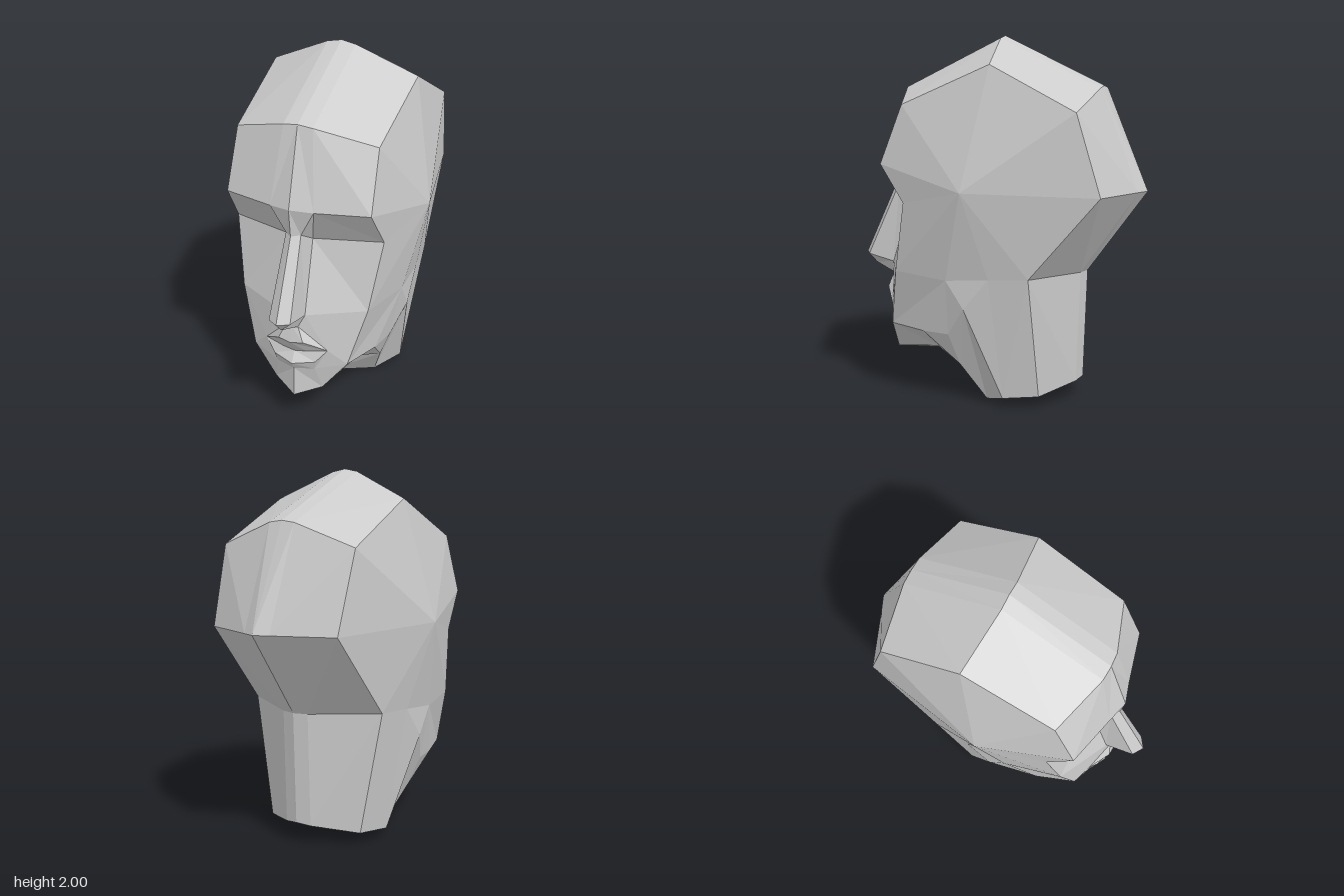
import * as THREE from 'three';

const material = new THREE.MeshStandardMaterial({ color: 0xcccccc, flatShading: true });

// Builds a mirrored, faceted part from polygons drawn on the +x half.
function part(name, polygons) {
  const pos = [];
  for (const poly of polygons) {
    for (let i = 1; i < poly.length - 1; i++) {
      const tri = [poly[0], poly[i], poly[i + 1]];
      for (const p of tri) pos.push(...p);
      for (const [x, y, z] of tri.reverse()) pos.push(-x, y, z);
    }
  }
  const geometry = new THREE.BufferGeometry();
  geometry.setAttribute('position', new THREE.Float32BufferAttribute(pos, 3));
  geometry.computeVertexNormals();
  const mesh = new THREE.Mesh(geometry, material);
  mesh.name = name;
  return mesh;
}

// Joins rows of points (midline to outer edge) with quads.
function loft(rows) {
  const quads = [];
  for (let i = 0; i < rows.length - 1; i++) {
    for (let j = 0; j < rows[i].length - 1; j++) {
      quads.push([rows[i][j], rows[i + 1][j], rows[i + 1][j + 1], rows[i][j + 1]]);
    }
  }
  return quads;
}

// Joins a hub point to a closed ring of points.
const fan = (hub, ring) => ring.map((p, i) => [hub, p, ring[(i + 1) % ring.length]]);

export function createModel() {
  // Skull rows, from the neck up the back and over to the brow
  const neckBack = [[0, 0.115, -0.49], [0.08, 0.105, -0.47], [0.3, 0.065, -0.32]];
  const nape = [[0, 0.72, -0.51], [0.08, 0.72, -0.49], [0.42, 0.73, -0.295]];
  const back = [[0, 1.17, -0.835], [0.08, 1.17, -0.8], [0.4, 1.17, -0.67]];
  const backTop = [[0, 1.73, -0.59], [0.08, 1.72, -0.59], [0.42, 1.6, -0.545]];
  const crown = [[0, 2, -0.03], [0.08, 1.985, -0.03], [0.41, 1.84, -0.08]];
  const forehead = [[0, 1.73, 0.53], [0.08, 1.72, 0.525], [0.39, 1.63, 0.425]];
  const brow = [[0, 1.32, 0.655], [0.12, 1.31, 0.62], [0.4, 1.31, 0.55]];

  // Side of the head and outline of the face
  const temple = [0.54, 1.185, 0.04];
  const eyeIn = [0.065, 1.105, 0.51], eyeOut = [0.42, 1.105, 0.41];
  const cheek = [0.365, 0.72, 0.485], jowl = [0.275, 0.4, 0.55];
  const chinSide = [0.14, 0.23, 0.575], chin = [0, 0.185, 0.645];
  const earLow = [0.44, 0.7, 0.16], earBack = [0.44, 0.72, -0.08];

  // Nose
  const nasion = [0, 1.165, 0.64], bridge = [0.042, 1.165, 0.605];
  const tip = [0, 0.75, 0.835], ridge = [0.06, 0.745, 0.795];
  const septum = [0, 0.685, 0.775], wing = [0.07, 0.71, 0.635];
  const noseBase = [0, 0.64, 0.655], noseBaseSide = [0.035, 0.64, 0.65];

  // Mouth
  const lipTop = [0, 0.545, 0.675], lipPeak = [0.07, 0.56, 0.67];
  const lipLine = [0, 0.465, 0.625], lipLineSide = [0.07, 0.475, 0.62];
  const mouthCorner = [0.18, 0.49, 0.595];
  const lipLow = [0, 0.405, 0.665], lipLowSide = [0.12, 0.42, 0.625];
  const underLip = [0, 0.36, 0.64], underLipSide = [0.11, 0.365, 0.61];

  // Jaw and neck
  const jawFront = [0.35, 0.39, 0.33], jawAngle = [0.38, 0.39, 0.17];
  const jawUnder = [0.24, 0.28, 0.29], jawBack = [0.31, 0.21, 0.13];
  const throat = [0, 0.2, 0.36], throatBack = [0, 0.17, 0.22];
  const neckTop = [0.44, 0.55, 0.06];
  const neckFront = [0, 0.015, 0.14], neckFrontSide = [0.23, 0, 0], neckSide = [0.345, 0.05, -0.13];

  const head = new THREE.Group();
  head.name = 'head';
  head.add(
    part('cranium', loft([nape, back, backTop, crown, forehead, brow])),
    part('headSides', fan(temple, [
      back[2], backTop[2], crown[2], forehead[2], brow[2],
      eyeOut, cheek, earLow, earBack, nape[2],
    ])),
    part('eyeSockets', [
      [brow[0], nasion, bridge, brow[1]],
      [brow[1], bridge, eyeIn, eyeOut, brow[2]],
    ]),
    part('nose', [
      [nasion, tip, ridge, bridge],
      [bridge, ridge, wing, eyeIn],
      [septum, noseBase, noseBaseSide, wing, ridge, tip],
    ]),
    part('cheeks', [
      [eyeIn, wing, cheek, eyeOut],
      [noseBase, lipTop, lipPeak, noseBaseSide],
      [mouthCorner, cheek, wing, noseBaseSide, lipPeak],
      [mouthCorner, jowl, cheek],
    ]),
    part('lips', [
      [lipTop, lipLine, lipLineSide, mouthCorner, lipPeak],
      [lipLine, lipLow, lipLowSide, mouthCorner, lipLineSide],
    ]),
    part('chin', [
      [lipLow, underLip, underLipSide, lipLowSide],
      [underLip, chin, chinSide, underLipSide],
      [underLipSide, chinSide, jowl, mouthCorner, lipLowSide],
    ]),
    part('jaw', [
      [earLow, cheek, jowl, jawFront, jawAngle, neckTop],
      [jowl, chinSide, jawUnder, jawFront],
      [jawFront, jawUnder, jawBack, jawAngle],
      [chinSide, chin, throat, jawUnder],
      [jawUnder, throat, throatBack, jawBack],
    ]),
    part('neck', [
      ...loft([neckBack, nape]),
      [earLow, neckTop, earBack],
      [earBack, neckTop, neckSide],
      [neckTop, neckFrontSide, neckSide],
      [nape[2], earBack, neckSide, neckBack[2]],
      [jawAngle, jawBack, neckTop],
      [jawBack, throatBack, neckFront, neckFrontSide, neckTop],
      [neckFront, ...neckBack, neckSide, neckFrontSide],
    ]),
  );
  return head;
}
